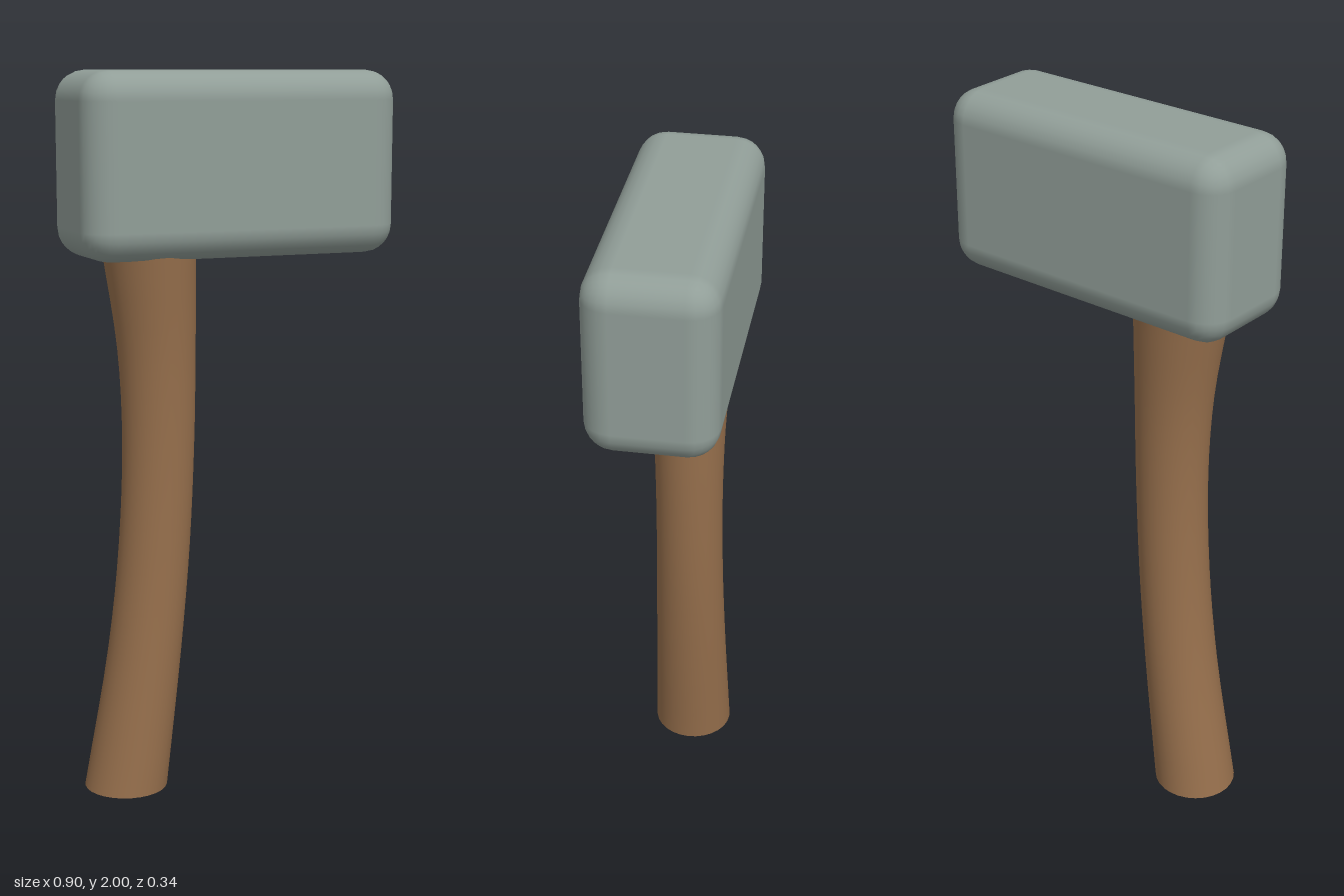
import * as THREE from 'three';
import { RoundedBoxGeometry } from 'three/addons/geometries/RoundedBoxGeometry.js';
import { mergeVertices } from 'three/addons/utils/BufferGeometryUtils.js';

// Handle sections: height, left edge x, right edge x, half depth
const SECTIONS = [
  [0, -0.426, -0.193, 0.118],
  [0.4, -0.352, -0.146, 0.106],
  [0.7, -0.318, -0.118, 0.099],
  [1.0, -0.305, -0.103, 0.098],
  [1.25, -0.316, -0.099, 0.106],
  [1.53, -0.357, -0.099, 0.131],
];

// A round column bent and tapered through the sections
function handleGeometry() {
  const curve = (i) => new THREE.CatmullRomCurve3(
    SECTIONS.map((s) => new THREE.Vector3((s[1] + s[2]) / 2, s[0], i === 0 ? (s[2] - s[1]) / 2 : s[3])));
  const widths = curve(0), depths = curve(1);
  const geometry = new THREE.CylinderGeometry(1, 1, 1, 28, 20, true);
  geometry.deleteAttribute('uv');
  geometry.deleteAttribute('normal');
  const p = geometry.attributes.position;
  for (let i = 0; i < p.count; i++) {
    const t = THREE.MathUtils.clamp(p.getY(i) + 0.5, 0, 1);
    const w = widths.getPoint(t), d = depths.getPoint(t);
    p.setXYZ(i, w.x + p.getX(i) * w.z, w.y, p.getZ(i) * d.z);
  }
  const merged = mergeVertices(geometry);
  merged.computeVertexNormals();
  return merged;
}

export function createModel() {
  const group = new THREE.Group();
  const stone = new THREE.MeshStandardMaterial({ color: 0x919e98 });
  stone.name = 'grey stone';
  const wood = new THREE.MeshStandardMaterial({ color: 0x966f4c });
  wood.name = 'brown wood';

  const add = (name, geometry, material) => {
    const mesh = new THREE.Mesh(geometry, material);
    mesh.name = name;
    group.add(mesh);
    return mesh;
  };

  // Block head with rounded edges
  add('head', new RoundedBoxGeometry(0.905, 0.5, 0.345, 3, 0.08), stone).position.set(0, 1.75, 0);

  // Curved grip and its flat base
  add('handle', handleGeometry(), wood);
  const [, left, right, depth] = SECTIONS[0];
  const base = new THREE.CircleGeometry(1, 28).rotateX(Math.PI / 2);
  base.scale((right - left) / 2, 1, depth);
  add('handleBase', base, wood).position.x = (left + right) / 2;

  return group;
}
